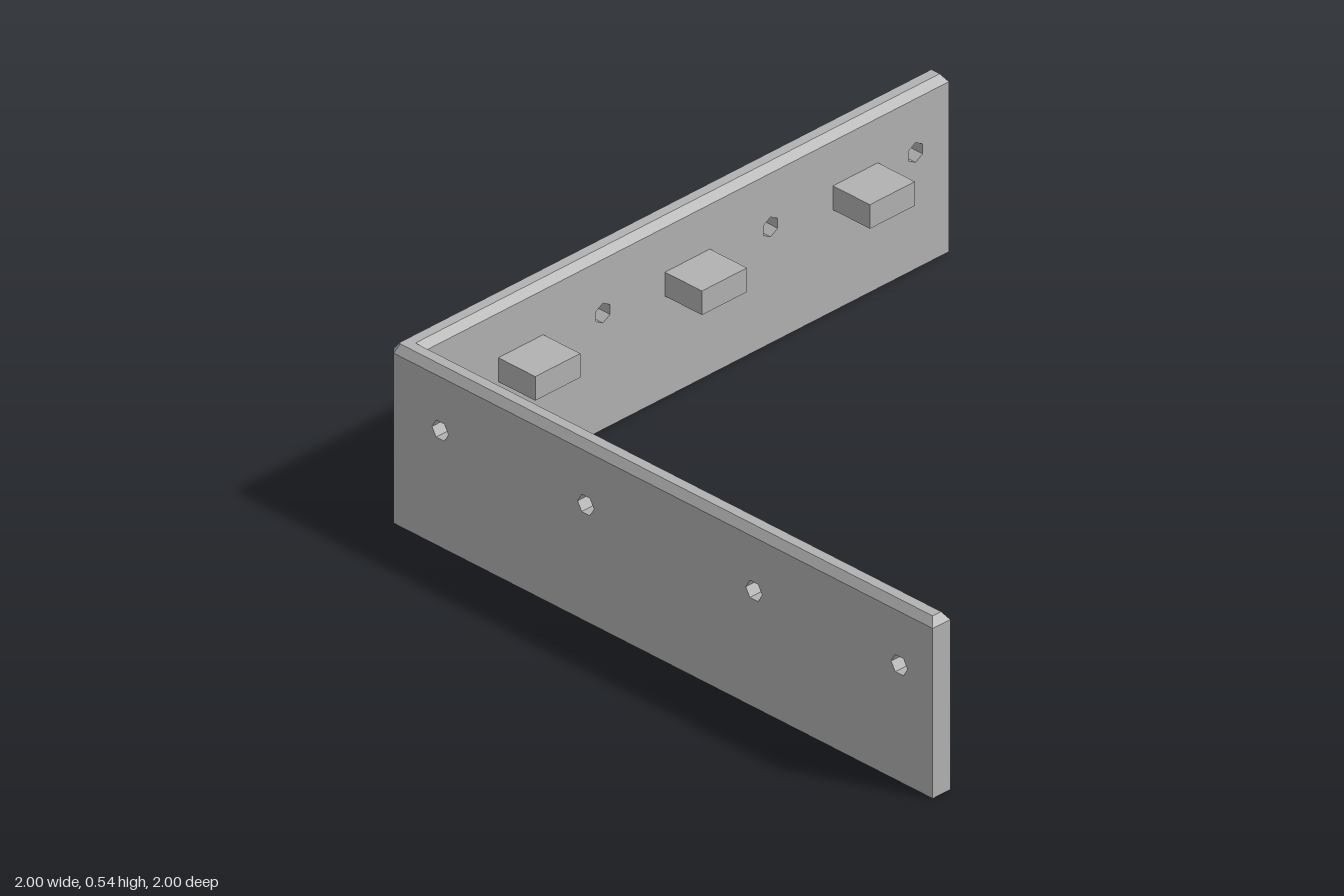
import * as THREE from 'three';

const H = 0.54, WALL_H = 0.516, INSET = 0.017, IN = 0.935, CUT = 0.016;
const HOLE_Y = 0.353, HOLE_R = 0.03;
const HOLES = [-0.813, -0.277, 0.342, 0.877];
const BLOCKS = [-0.585, 0.03, 0.65];

// L-shaped plan as [x, z], moved inwards by d
function outline(d) {
  const k = CUT + 0.414 * d;
  return [
    [-1 + d, 1 - k], [-1 + k, 1 - d], [1 - d, 1 - d], [1 - d, IN + d],
    [-IN - d, IN + d], [-IN - d, -1 + d], [-1 + d, -1 + d],
  ];
}

// Closed band of flat quads between two loops of [x, y, z] points
function loft(a, b) {
  const pos = [];
  a.forEach((p, i) => {
    const j = (i + 1) % a.length;
    pos.push(...p, ...a[j], ...b[j], ...p, ...b[j], ...b[i]);
  });
  const g = new THREE.BufferGeometry();
  g.setAttribute('position', new THREE.Float32BufferAttribute(pos, 3));
  g.computeVertexNormals();
  return g;
}

// Hexagon points around (u, HOLE_Y)
function hexagon(u, turn) {
  return Array.from({ length: 6 }, (_, i) => {
    const t = turn + i * Math.PI / 3;
    return new THREE.Vector2(u + HOLE_R * Math.cos(t), HOLE_Y + HOLE_R * Math.sin(t));
  });
}

export function createModel() {
  const model = new THREE.Group();
  model.name = 'cornerBracket';
  const grey = new THREE.MeshStandardMaterial({ color: 0xb2b2b2 });
  grey.name = 'grey';
  const add = (name, geometry) => {
    const mesh = new THREE.Mesh(geometry, grey);
    mesh.name = name;
    model.add(mesh);
    return mesh;
  };

  const base = outline(0), rim = outline(INSET);

  // Upright wall faces; the four long ones carry the screw holes
  const holesOnEdge = {
    1: [HOLES.map((x) => x - base[1][0]), 0],
    3: [HOLES.map((x) => 1 - x), 0],
    4: [HOLES.map((x) => IN + x), Math.PI / 2],
    6: [HOLES.map((x) => 1 - x), Math.PI / 2],
  };
  base.forEach(([x, z], i) => {
    const [x2, z2] = base[(i + 1) % base.length];
    const len = Math.hypot(x2 - x, z2 - z);
    const shape = new THREE.Shape([
      new THREE.Vector2(0, 0), new THREE.Vector2(len, 0),
      new THREE.Vector2(len, WALL_H), new THREE.Vector2(0, WALL_H),
    ]);
    const [centres, turn] = holesOnEdge[i] || [[], 0];
    centres.forEach((u) => shape.holes.push(new THREE.Path(hexagon(u, turn))));
    const panel = add('wallFace', new THREE.ShapeGeometry(shape));
    panel.position.set(x, 0, z);
    panel.rotation.y = Math.atan2(z - z2, x2 - x);
  });

  // Bevelled rim, top and underside
  add('rimBevel', loft(base.map(([x, z]) => [x, WALL_H, z]), rim.map(([x, z]) => [x, H, z])));
  const top = new THREE.Shape(rim.map(([x, z]) => new THREE.Vector2(x, -z)));
  add('topFace', new THREE.ShapeGeometry(top).rotateX(-Math.PI / 2).translate(0, H, 0));
  const bottom = new THREE.Shape(base.map(([x, z]) => new THREE.Vector2(x, z)));
  add('underside', new THREE.ShapeGeometry(bottom).rotateX(Math.PI / 2));

  // Hole linings through both walls
  HOLES.forEach((u) => {
    const front = hexagon(u, 0), side = hexagon(-u, Math.PI / 2);
    add('frontHole', loft(front.map((p) => [p.x, p.y, 1]), front.map((p) => [p.x, p.y, IN])));
    add('sideHole', loft(side.map((p) => [-1, p.y, p.x]), side.map((p) => [-IN, p.y, p.x])));
  });

  // Support blocks on the inner faces
  const mid = 0.867, depth = 0.136, width = 0.166, tall = 0.073;
  BLOCKS.forEach((u) => {
    add('frontBlock', new THREE.BoxGeometry(width, tall, depth)).position.set(u, 0.344, mid);
    add('sideBlock', new THREE.BoxGeometry(depth, tall, width)).position.set(-mid, 0.344, -u - 0.005);
  });
  return model;
}
